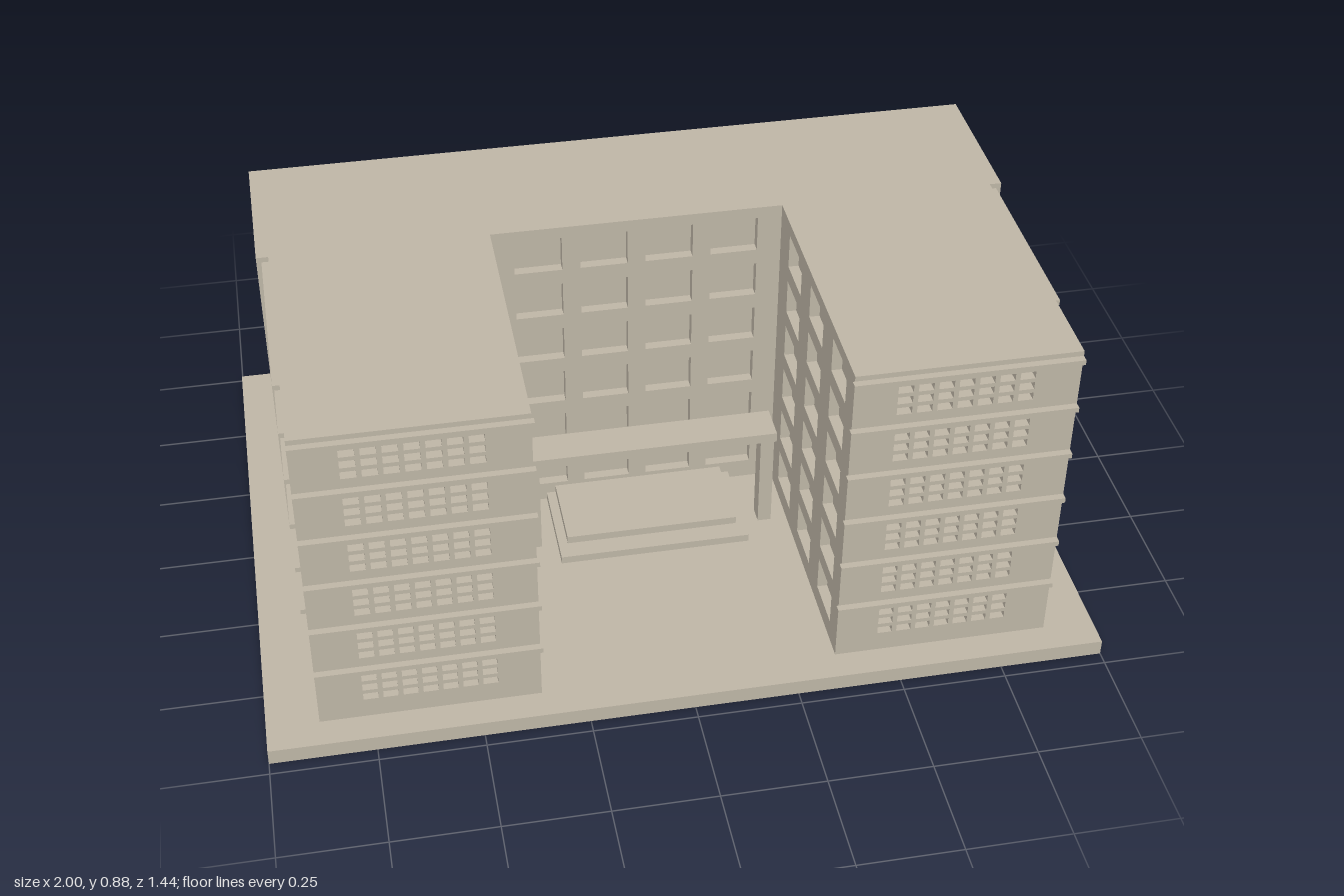
import * as THREE from 'three';

const FLOORS = 6, PITCH = 0.133, GROUND = 0.04, ROOF = 0.878, T = 0.025;
const BACK = -0.433, COURT = -0.048, FRONT = 0.645; // z planes
const BLOCK_X = 0.905, WING_X = 0.876, INNER_X = 0.355; // x planes

export function createModel() {
  const model = new THREE.Group();
  model.name = 'apartmentBlock';
  const concrete = new THREE.MeshStandardMaterial({ color: 0xbfb7a7 });
  concrete.name = 'warm grey concrete';

  // Box given by its limits on each axis
  function box(name, x0, x1, y0, y1, z0, z1) {
    const mesh = new THREE.Mesh(new THREE.BoxGeometry(x1 - x0, y1 - y0, z1 - z0), concrete);
    mesh.position.set((x0 + x1) / 2, (y0 + y1) / 2, (z0 + z1) / 2);
    mesh.name = name;
    model.add(mesh);
  }

  // Wall panel with window holes; u runs to the right as seen from outside
  function wall(name, angle, dist, u0, u1, holes) {
    const shape = new THREE.Shape();
    shape.moveTo(u0, GROUND).lineTo(u1, GROUND).lineTo(u1, ROOF).lineTo(u0, ROOF).closePath();
    for (const [u, y, w, h] of holes) {
      const hole = new THREE.Path();
      hole.moveTo(u - w / 2, y).lineTo(u - w / 2, y + h).lineTo(u + w / 2, y + h).lineTo(u + w / 2, y).closePath();
      shape.holes.push(hole);
    }
    const geo = new THREE.ExtrudeGeometry(shape, { depth: T, bevelEnabled: false });
    geo.translate(0, 0, dist - T);
    const mesh = new THREE.Mesh(geo, concrete);
    mesh.rotation.y = angle;
    mesh.name = name;
    model.add(mesh);
  }

  // One window per centre on every floor
  function windows(centres, w, y, h) {
    const list = [];
    for (let f = 0; f < FLOORS; f++) for (const u of centres) list.push([u, y + f * PITCH, w, h]);
    return list;
  }

  // Grid of small openings, 7 by 3 on every floor
  function lattice(centre) {
    const list = [];
    for (let f = 0; f < FLOORS; f++)
      for (let r = 0; r < 3; r++)
        for (let c = -3; c <= 3; c++)
          list.push([centre + c * 0.0465, 0.093 + f * PITCH + r * 0.0295, 0.035, 0.019]);
    return list;
  }

  // Ground slab and solid cores behind the wall panels
  box('groundSlab', -1, 1, 0, GROUND, -0.718, 0.718);
  box('backBlockCore', -BLOCK_X + T, BLOCK_X - T, GROUND, ROOF, BACK + T, COURT - T);

  // Back block walls
  const backCentres = Array.from({ length: 9 }, (_, i) => -0.731 + i * 0.1865);
  wall('backWall', Math.PI, -BACK, -BLOCK_X, BLOCK_X, windows(backCentres, 0.117, 0.092, 0.078));
  wall('courtyardWall', 0, COURT, -BLOCK_X, BLOCK_X,
    windows([-0.242, -0.082, 0.078, 0.238], 0.116, 0.091, 0.092));

  for (const s of [-1, 1]) {
    const side = s > 0 ? 'left' : 'right';
    const out = s * Math.PI / 2;
    const span = (z0, z1) => (s > 0 ? [-z1, -z0] : [z0, z1]); // z range to u range
    const at = (sign, zs) => zs.map((z) => -sign * z);
    const xs = (a, b) => (s > 0 ? [a, b] : [-b, -a]);

    // Outer walls of the back block and the wing
    wall(side + 'BlockEndWall', out, BLOCK_X, ...span(BACK + T, COURT - T),
      windows(at(s, [-0.171, -0.333]), 0.135, 0.092, 0.078));
    wall(side + 'WingOuterWall', out, WING_X, ...span(COURT, FRONT - T),
      windows(at(s, [0.467, 0.255, 0.04]), 0.135, 0.092, 0.078));

    // Wing core, courtyard wall and front wall
    box(side + 'WingCore', ...xs(INNER_X + T, WING_X - T), GROUND, ROOF, COURT, FRONT - T);
    const inner = s > 0 ? [COURT, FRONT - T] : [-(FRONT - T), -COURT];
    wall(side + 'WingCourtyardWall', -out, -INNER_X, ...inner,
      windows(at(-s, [0.52, 0.31, 0.1]), 0.125, 0.091, 0.09));
    wall(side + 'WingFrontWall', 0, FRONT, ...xs(INNER_X, WING_X), lattice(s * 0.613));

    // Projecting ledges above each floor
    for (let f = 0; f < FLOORS; f++) {
      const y = 0.187 + f * PITCH;
      box(side + 'FrontLedge', ...xs(0.35, WING_X), y, y + 0.013, FRONT, FRONT + 0.017);
      box(side + 'SideLedge', ...xs(WING_X, 0.893), y, y + 0.013, COURT, 0.433);
    }

    // Canopy post
    box(side + 'CanopyPost', ...xs(0.28, 0.314), GROUND, 0.316, 0.09, 0.135);
  }

  // Entrance canopy and steps
  box('entranceCanopy', -0.314, 0.314, 0.316, 0.342, 0.067, 0.16);
  box('lowerStep', -0.24, 0.24, GROUND, 0.06, COURT, 0.207);
  box('upperStep', -0.217, 0.217, 0.06, 0.08, COURT, 0.157);

  return model;
}
